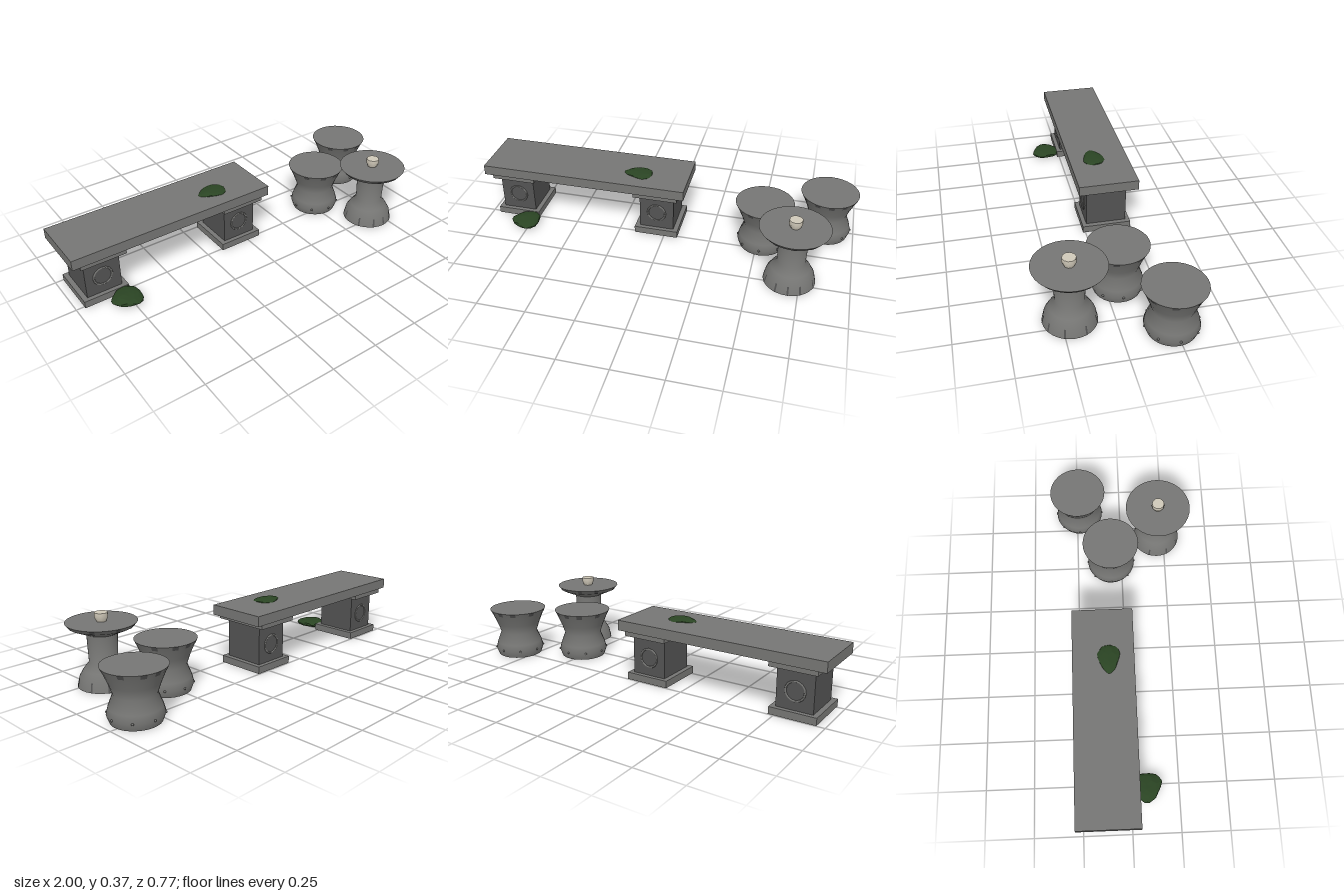
import * as THREE from 'three';
import { toCreasedNormals } from 'three/addons/utils/BufferGeometryUtils.js';

const material = (name, color) => {
  const m = new THREE.MeshStandardMaterial({ color });
  m.name = name;
  return m;
};

export function createModel() {
  const stone = material('stone', 0x767674);
  const darkStone = material('dark stone', 0x535353);
  const moss = material('moss', 0x2a4423);
  const cream = material('cream', 0xcfc8b8);

  const root = new THREE.Group();
  root.name = 'stoneGardenSet';

  const group = (name, x, y, z, parent = root) => {
    const g = new THREE.Group();
    g.name = name;
    g.position.set(x, y, z);
    parent.add(g);
    return g;
  };
  const add = (parent, name, geo, mat, x = 0, y = 0, z = 0) => {
    const mesh = new THREE.Mesh(geo, mat);
    mesh.name = name;
    mesh.position.set(x, y, z);
    parent.add(mesh);
    return mesh;
  };
  // Box given by its size and its bottom height
  const block = (parent, name, mat, w, h, d, y, x = 0, z = 0) =>
    add(parent, name, new THREE.BoxGeometry(w, h, d), mat, x, y + h / 2, z);
  // Turned solid, closed at both ends, from [radius, height] pairs
  const turned = (profile, sides) => {
    const pts = profile.map(([r, y]) => new THREE.Vector2(r, y));
    return toCreasedNormals(new THREE.LatheGeometry(pts, sides), 0.8);
  };

  // Bench: slab on two plinth legs
  const bench = group('bench', -0.445, 0, -0.117);
  block(bench, 'slab', stone, 1.11, 0.053, 0.316, 0.265);
  for (const x of [-0.395, 0.4]) {
    const leg = group('benchLeg', x, 0, 0, bench);
    block(leg, 'legBase', stone, 0.236, 0.037, 0.26, 0);
    block(leg, 'legPillar', darkStone, 0.185, 0.205, 0.215, 0.036);
    block(leg, 'legCap', stone, 0.236, 0.026, 0.3, 0.24);
    for (const side of [-1, 1]) {
      add(leg, 'legRing', new THREE.TorusGeometry(0.048, 0.005, 6, 16), stone, 0, 0.13, side * 0.1075);
    }
  }

  // Worn chips: thin curved plates spread round a turned part
  const chips = (parent, count, y, h, rTop, rBottom, arc) => {
    for (let i = 0; i < count; i++) {
      const a = (i / count) * Math.PI * 2 + 0.15 * Math.sin(i * 5);
      const geo = new THREE.CylinderGeometry(rTop, rBottom, h, 3, 1, true, a, arc);
      add(parent, 'wornChip', geo, darkStone, 0, y, 0);
    }
  };

  // Two drum stools with a ring of studs
  for (const [x, z] of [[0.848, -0.235], [0.524, -0.06]]) {
    const stool = group('stool', x, 0, z);
    add(stool, 'stoolBody', turned([
      [0, 0], [0.118, 0], [0.131, 0.036], [0.122, 0.07], [0.099, 0.13],
      [0.116, 0.18], [0.139, 0.235], [0.152, 0.26], [0, 0.26],
    ], 32), stone);
    chips(stool, 10, 0.2495, 0.021, 0.1525, 0.1415, 0.2);
    for (let i = 0; i < 8; i++) {
      const a = (i / 8) * Math.PI * 2;
      add(stool, 'stud', new THREE.SphereGeometry(0.006, 8, 6), stone,
        0.13 * Math.cos(a), 0.037, 0.13 * Math.sin(a));
    }
  }

  // Pedestal table
  const table = group('table', 0.697, 0, 0.207);
  add(table, 'tableBody', turned([
    [0, 0], [0.131, 0], [0.12, 0.048], [0.098, 0.085], [0.07, 0.12], [0.075, 0.265],
    [0.158, 0.302], [0.175, 0.323], [0, 0.323],
  ], 32), stone);
  chips(table, 9, 0.3125, 0.021, 0.1755, 0.159, 0.14);
  chips(table, 10, 0.024, 0.047, 0.1215, 0.132, 0.07);

  // Small cup on the table
  add(table, 'cup', turned([
    [0, 0], [0.024, 0], [0.035, 0.024], [0.033, 0.044], [0, 0.044],
  ], 10), cream, 0, 0.323, 0);

  // Moss clumps: squashed, roughened rocks
  const clump = (name, x, y, z, sx, sy, sz) => {
    const geo = new THREE.IcosahedronGeometry(1, 2);
    const p = geo.attributes.position;
    const v = new THREE.Vector3();
    for (let i = 0; i < p.count; i++) {
      v.fromBufferAttribute(p, i);
      v.multiplyScalar(0.94 + 0.07 * Math.sin(v.x * 5 + v.z * 3) * Math.cos(v.y * 4 - v.z * 4));
      p.setXYZ(i, v.x * sx, v.y * sy, v.z * sz * (1 + 0.3 * v.x));
    }
    geo.computeVertexNormals();
    add(root, name, geo, moss, x, y, z);
  };
  clump('benchMoss', -0.16, 0.317, -0.09, 0.082, 0.016, 0.058);
  clump('groundMoss', -0.77, 0.026, 0.08, 0.082, 0.023, 0.08);

  return root;
}
